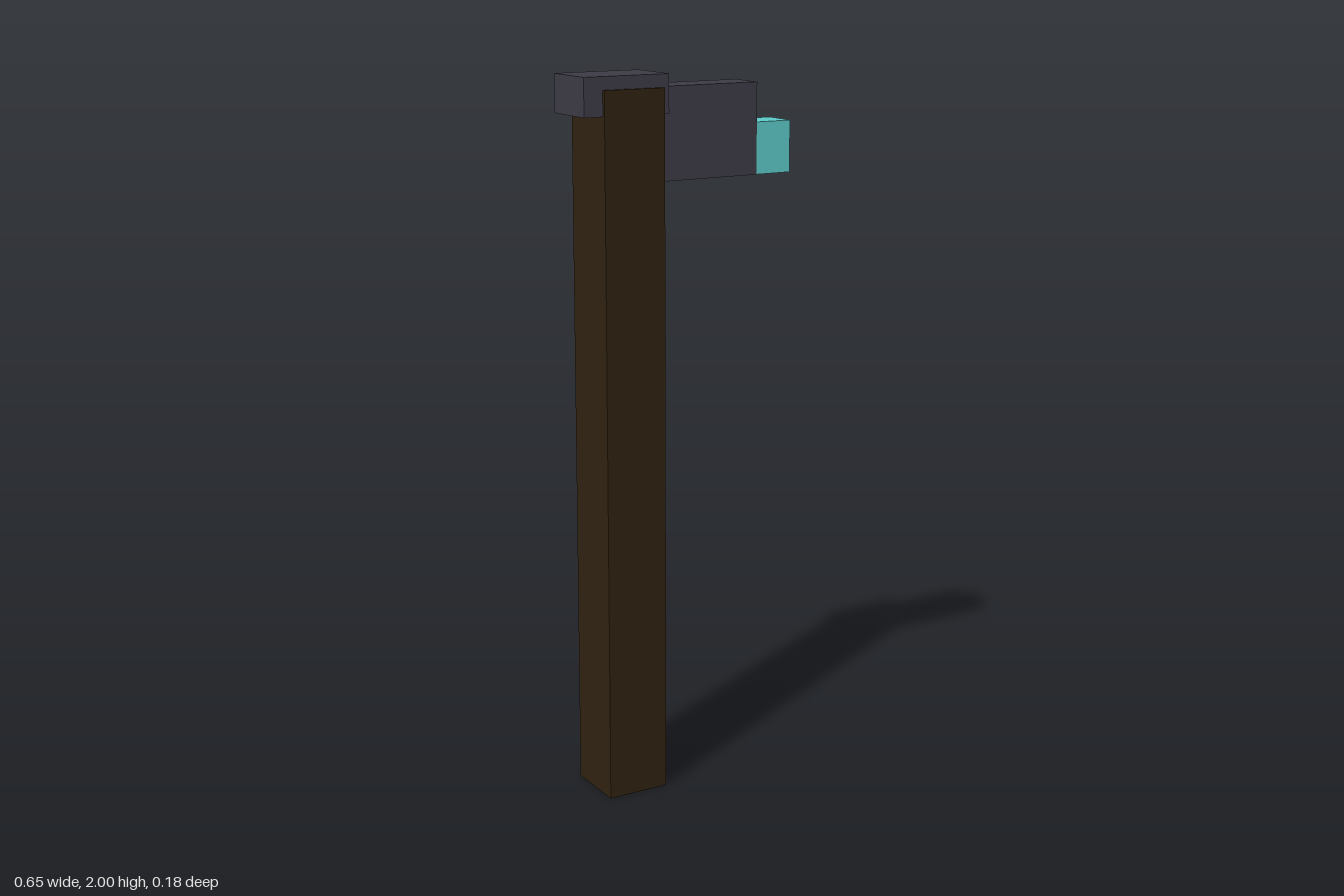
import * as THREE from 'three';

const material = (name, color) => {
  const m = new THREE.MeshStandardMaterial({ color });
  m.name = name;
  return m;
};

// Box given by its limits along each axis
function block(name, mat, [x0, x1], [y0, y1], [z0, z1]) {
  const mesh = new THREE.Mesh(new THREE.BoxGeometry(x1 - x0, y1 - y0, z1 - z0), mat);
  mesh.position.set((x0 + x1) / 2, (y0 + y1) / 2, (z0 + z1) / 2);
  mesh.name = name;
  return mesh;
}

export function createModel() {
  const wood = material('dark wood', 0x2f2210);
  const metal = material('dark metal', 0x3d3b46);
  const glass = material('turquoise glass', 0x5ccac8);

  const group = new THREE.Group();
  group.name = 'lampPost';
  group.add(
    // Square post, with a cap that overhangs along x only
    block('post', wood, [-0.273, -0.093], [0, 1.965], [-0.09, 0.09]),
    block('cap', metal, [-0.328, -0.075], [1.897, 2], [-0.082, 0.081]),
    // Side arm with the lamp at its end
    block('arm', metal, [-0.1, 0.217], [1.715, 1.965], [-0.055, 0.053]),
    block('lamp', glass, [0.217, 0.327], [1.715, 1.857], [-0.052, 0.05])
  );
  return group;
}
